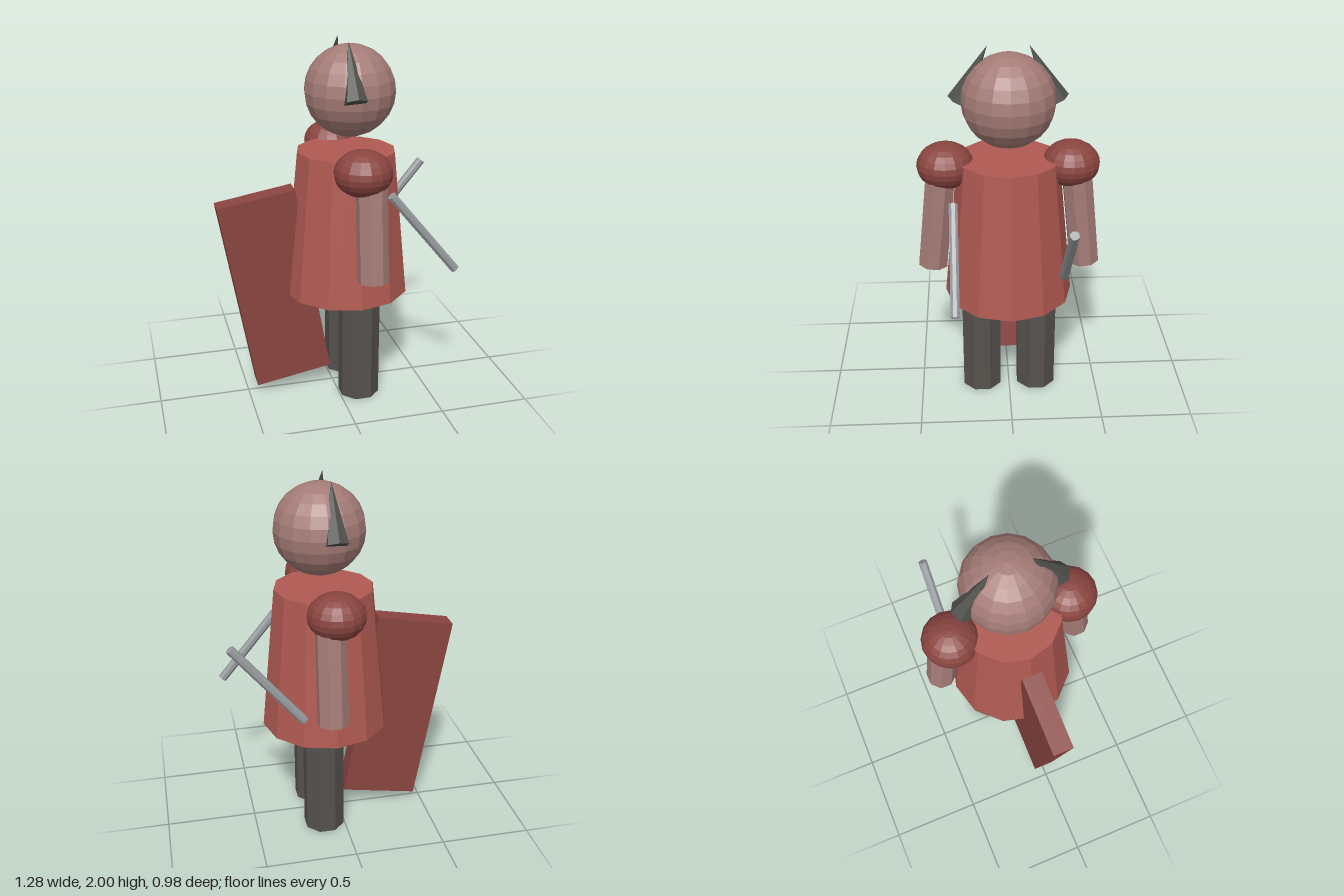
import * as THREE from 'three';

const paint = (color) => new THREE.MeshStandardMaterial({ color, flatShading: true });

export function createModel() {
  const model = new THREE.Group();
  const cloth = paint(0xb05a52);
  const darkCloth = paint(0x8a4540);
  const skin = paint(0xa57c77);
  const dark = paint(0x56514d);
  const horn = paint(0x50504d);
  const steel = paint(0x999ca0);

  const add = (name, geometry, material, x, y, z) => {
    const mesh = new THREE.Mesh(geometry, material);
    mesh.name = name;
    mesh.position.set(x, y, z);
    model.add(mesh);
    return mesh;
  };

  // Octagonal prism with flat faces towards the axes
  const prism = (r, h) => new THREE.CylinderGeometry(r, r, h, 8).rotateY(Math.PI / 8);

  // Robe and head
  add('robe', new THREE.CylinderGeometry(0.27, 0.35, 0.8, 12), cloth, 0.075, 1.0, 0);
  add('head', new THREE.SphereGeometry(0.245, 16, 12), skin, 0.095, 1.72, 0);

  // Slanted slab cape behind the body
  add('cape', new THREE.BoxGeometry(0.43, 1.1, 0.113), darkCloth, -0.336, 0.631, 0)
    .rotation.z = 0.175;

  // Paired parts; the figure looks along +x, so pairs sit at +z and -z
  for (const s of [1, -1]) {
    const side = s > 0 ? 'Front' : 'Back';

    add('leg' + side, prism(0.115, 0.64), dark, 0.114, 0.32, s * 0.155);

    add('shoulder' + side, new THREE.SphereGeometry(0.153, 16, 12), darkCloth, 0.076, 1.362, s * 0.331)
      .scale.y = 0.8;

    // Arm splayed slightly outwards
    add('arm' + side, prism(0.083, 0.55), skin, 0.112, 1.066, s * 0.386)
      .rotation.x = -s * 0.105;

    // Horn leaning in over the head
    add('horn' + side, new THREE.ConeGeometry(0.0625, 0.324, 6), horn, 0.056, 1.851, s * 0.18)
      .rotation.x = -s * 0.475;

    // Rods tilted opposite ways, forming a cross from the side
    add('rod' + side, prism(0.025, 0.587), steel, 0.43, 0.988, s * 0.294)
      .rotation.z = s * 0.69;
  }

  return model;
}
